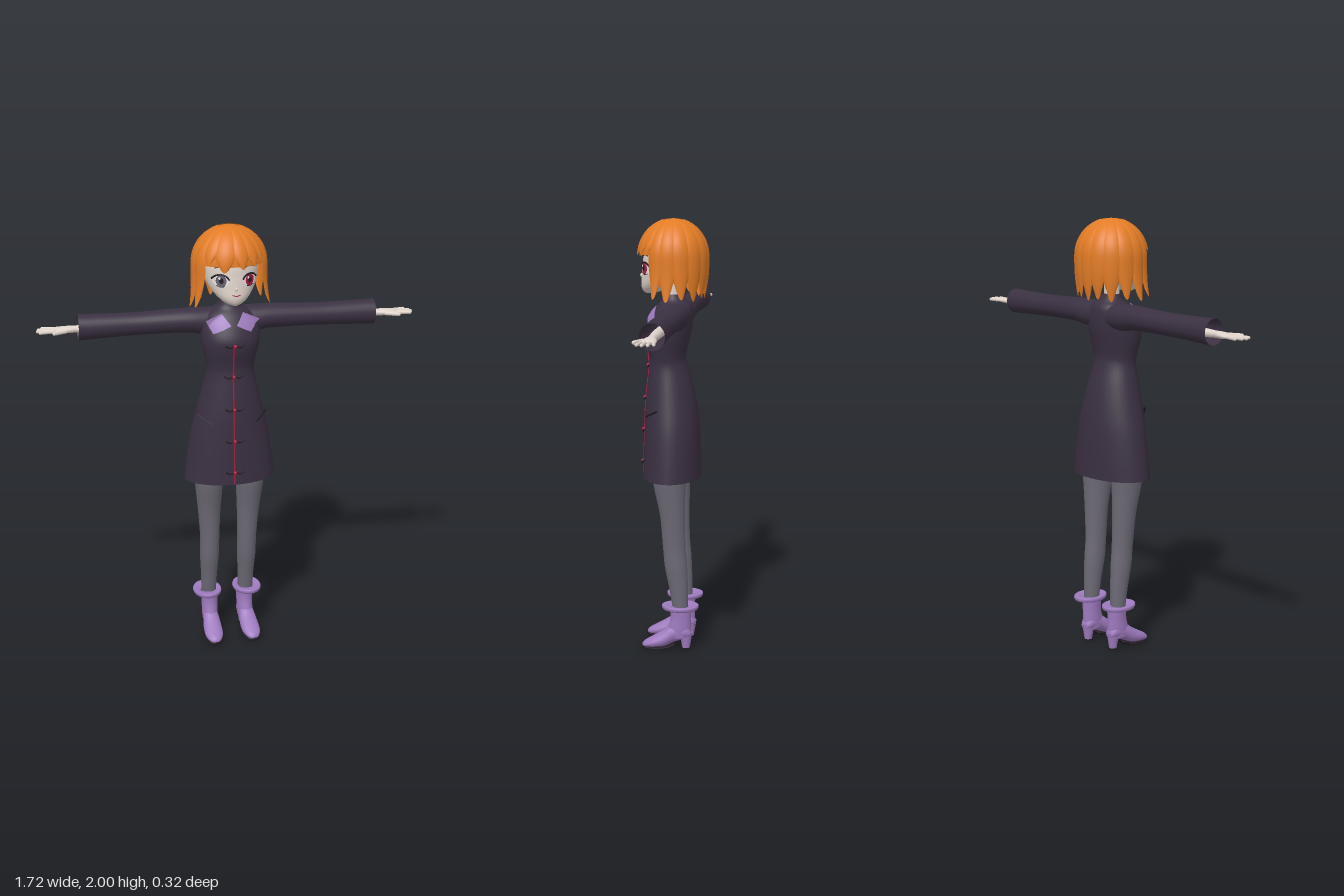
import * as THREE from 'three';

const mat = (name, color, side = THREE.FrontSide) => {
  const m = new THREE.MeshStandardMaterial({ color, side });
  m.name = name;
  return m;
};
const D = THREE.DoubleSide;

// Smooth loft of ellipses up y. Rows: [y, half width, front z, back z, centre x]
function loft(rows, { seg = 28, sub = 4, caps = false } = {}) {
  const mid = new THREE.CatmullRomCurve3(rows.map(r => new THREE.Vector3(r[4] || 0, r[0], (r[2] + r[3]) / 2)), false, 'catmullrom');
  const rad = new THREE.CatmullRomCurve3(rows.map(r => new THREE.Vector3(r[1], 0, (r[2] - r[3]) / 2)), false, 'catmullrom');
  const n = (rows.length - 1) * sub, pos = [], idx = [], sections = [];
  for (let i = 0; i <= n; i++) {
    const c = mid.getPoint(i / n), r = rad.getPoint(i / n);
    sections.push([c.y, c.z, r.x, r.z]);
    for (let j = 0; j < seg; j++) {
      const a = j / seg * Math.PI * 2;
      pos.push(c.x + r.x * Math.sin(a), c.y, c.z + r.z * Math.cos(a));
    }
  }
  for (let i = 0; i < n; i++) for (let j = 0; j < seg; j++) {
    const k = (j + 1) % seg, a = i * seg, b = a + seg;
    idx.push(a + j, a + k, b + k, a + j, b + k, b + j);
  }
  if (caps) {
    const lo = mid.getPoint(0), hi = mid.getPoint(1), c = pos.length / 3;
    pos.push(lo.x, lo.y, lo.z, hi.x, hi.y, hi.z);
    for (let j = 0; j < seg; j++) {
      const k = (j + 1) % seg;
      idx.push(c, k, j, c + 1, n * seg + j, n * seg + k);
    }
  }
  const g = new THREE.BufferGeometry();
  g.setAttribute('position', new THREE.Float32BufferAttribute(pos, 3));
  g.setIndex(idx);
  g.computeVertexNormals();
  // Front depth of the loft at (x, y)
  g.frontZ = (x, y) => {
    let i = 0;
    while (i < n - 1 && sections[i + 1][0] < y) i++;
    const p = sections[i], q = sections[i + 1];
    const f = THREE.MathUtils.clamp((y - p[0]) / (q[0] - p[0]), 0, 1);
    const [, cz, rx, rz] = p.map((v, k) => v + (q[k] - v) * f);
    return cz + rz * Math.sqrt(Math.max(0.12, 1 - (x / rx) ** 2));
  };
  return g;
}

function remap(g, fn) {
  const p = g.attributes.position;
  for (let i = 0; i < p.count; i++) p.setXYZ(i, ...fn(p.getX(i), p.getY(i), p.getZ(i)));
  g.computeVertexNormals();
  return g;
}
const drape = (g, surf, off) => remap(g, (x, y) => [x, y, surf(x, y) + off]);

export function createModel() {
  const hair = mat('orange hair', 0xe27c26, D), skin = mat('pale skin', 0xe0d4cb);
  const cloth = mat('dark plum coat', 0x3a3041, D), stocking = mat('grey stocking', 0x6c6975);
  const lilac = mat('lilac', 0x9f7bbf, D), black = mat('black', 0x211b22, D);
  const red = mat('red', 0xa32040, D), white = mat('white', 0xf2eeee, D), grey = mat('grey iris', 0x65606e, D);
  const root = new THREE.Group();
  const add = (name, geo, m, parent = root) => {
    const mesh = new THREE.Mesh(geo, m);
    mesh.name = name;
    parent.add(mesh);
    return mesh;
  };
  const tube = (pts, r) => new THREE.TubeGeometry(new THREE.CatmullRomCurve3(pts.map(p => new THREE.Vector3(...p))), 20, r, 6);

  // Coat body, open at the hem
  const coat = loft([
    [0.82, 0.212, 0.138, -0.13], [0.92, 0.2, 0.134, -0.128], [1.04, 0.181, 0.13, -0.123], [1.14, 0.157, 0.127, -0.112],
    [1.25, 0.129, 0.117, -0.09], [1.335, 0.109, 0.108, -0.066], [1.38, 0.112, 0.11, -0.06], [1.45, 0.128, 0.128, -0.074],
    [1.5, 0.134, 0.13, -0.085], [1.56, 0.13, 0.104, -0.09], [1.605, 0.102, 0.075, -0.084], [1.632, 0.062, 0.05, -0.062],
    [1.66, 0.042, 0.04, -0.035]], { seg: 36 });
  add('coatBody', coat, cloth);
  const onCoat = (x, y, off) => [x, y, coat.frontZ(x, y) + off];

  // Front seam, knotted fasteners and pocket slits
  add('frontSeam', tube(Array.from({ length: 9 }, (_, i) => onCoat(-0.006, 0.825 + i * 0.082, 0.003)), 0.0035), red);
  [1.48, 1.33, 1.18, 1.03, 0.88].forEach(y => {
    add('fastener', tube([-0.042, -0.022, 0, 0.022, 0.042].map((x, i) => onCoat(x - 0.004, y + (i % 2 ? -0.006 : 0.003), 0.006)), 0.0035), black);
    add('fastenerKnot', new THREE.SphereGeometry(0.009, 10, 8), red).position.set(...onCoat(-0.004, y, 0.008));
  });
  for (const s of [-1, 1]) add('pocketSlit', tube([[0.1, 1.11], [0.13, 1.127], [0.158, 1.145]].map(([x, y]) => onCoat(s * x, y, 0.008)), 0.0045), black);

  // Collar flaps: four-cornered patches laid over the chest
  const flap = c => drape(remap(new THREE.PlaneGeometry(1, 1, 8, 8), (x, y) => {
    const u = x + 0.5, v = y + 0.5;
    return [0, 1].map(k => (c[0][k] * (1 - u) + c[1][k] * u) * (1 - v) + (c[3][k] * (1 - u) + c[2][k] * u) * v).concat(0);
  }), (x, y) => Math.max(coat.frontZ(x, y), 0.062), 0.008);
  add('collarFlapRight', flap([[-0.094, 1.532], [-0.014, 1.566], [-0.05, 1.615], [-0.122, 1.586]]), lilac);
  add('collarFlapLeft', flap([[0.01, 1.566], [0.075, 1.535], [0.125, 1.582], [0.048, 1.617]]), lilac);

  // Arms: sleeve, wrist, palm and fingers, laid along local x
  for (const s of [1, -1]) {
    const arm = new THREE.Group();
    arm.name = s > 0 ? 'leftArm' : 'rightArm';
    arm.position.set(0, 1.56, -0.022);
    arm.rotation.y = (s > 0 ? 0 : Math.PI) - 0.037;
    root.add(arm);
    add('sleeve', loft([[0.05, 0.062, 0.062, -0.062, -0.002], [0.13, 0.06, 0.063, -0.065, -0.004], [0.2, 0.055, 0.06, -0.062, -0.009],
      [0.4, 0.051, 0.053, -0.053, -0.005], [0.55, 0.054, 0.053, -0.053, -0.003], [0.675, 0.058, 0.055, -0.055, -0.002]])
      .rotateZ(-Math.PI / 2), cloth, arm);
    const hand = new THREE.Group();
    hand.name = 'hand';
    hand.position.y = -0.005;
    arm.add(hand);
    add('palm', loft([[0.45, 0.022, 0.024, -0.024], [0.6, 0.02, 0.021, -0.021], [0.68, 0.016, 0.018, -0.018], [0.72, 0.015, 0.029, -0.029],
      [0.765, 0.011, 0.036, -0.034], [0.785, 0.006, 0.03, -0.03]], { seg: 16, caps: true }).rotateZ(-Math.PI / 2), skin, hand);
    const finger = (name, x, z, len, turn, r) => {
      const f = add(name, new THREE.CapsuleGeometry(r, len, 4, 8).rotateZ(Math.PI / 2), skin, hand);
      f.position.set(x, 0, s * z);
      f.rotation.y = -s * turn;
    };
    [[0.804, -0.031, 0.052, -0.16], [0.812, -0.011, 0.07, -0.05], [0.815, 0.01, 0.074, 0.03], [0.81, 0.03, 0.064, 0.13]]
      .forEach(([x, z, l, t]) => finger('finger', x, z, l, t, 0.0075));
    finger('thumb', 0.755, 0.043, 0.06, 0.42, 0.009);
  }

  // Legs and boots
  for (const s of [1, -1]) {
    add(s > 0 ? 'leftLeg' : 'rightLeg', loft([[0.18, 0.034, -0.012, -0.08], [0.3, 0.038, 0.008, -0.08], [0.4, 0.044, 0.028, -0.076],
      [0.5, 0.045, 0.037, -0.068], [0.65, 0.053, 0.05, -0.066], [0.8, 0.066, 0.08, -0.07], [0.96, 0.078, 0.09, -0.085]]
      .map(r => [...r, s * (0.09 + Math.max(0, r[0] - 0.5) * 0.025)]), { caps: true }), stocking);
    const boot = new THREE.Group();
    boot.name = s > 0 ? 'leftBoot' : 'rightBoot';
    boot.position.x = s * 0.088;
    boot.rotation.y = s * 0.04;
    root.add(boot);
    add('bootShaft', loft([[0.06, 0.034, 0.02, -0.092], [0.1, 0.037, 0.014, -0.094], [0.15, 0.038, 0.002, -0.094], [0.205, 0.042, 0.002, -0.096]]), lilac, boot);
    add('bootCuff', loft([[0.193, 0.04, 0, -0.095], [0.201, 0.064, 0.036, -0.126], [0.216, 0.067, 0.04, -0.13], [0.221, 0.06, 0.034, -0.124],
      [0.214, 0.036, -0.01, -0.084]], { sub: 2 }), lilac, boot).position.x = s * 0.011;
    // Foot and sole run along z; rows are [z, half width, -bottom, -top]
    add('foot', loft([[-0.096, 0.02, -0.06, -0.09], [-0.07, 0.034, -0.05, -0.125], [-0.015, 0.037, -0.034, -0.125], [0.035, 0.043, -0.01, -0.088],
      [0.085, 0.042, -0.006, -0.058], [0.12, 0.028, -0.006, -0.038], [0.134, 0.01, -0.01, -0.024]], { seg: 20, caps: true })
      .rotateX(Math.PI / 2), lilac, boot);
    add('sole', loft([[-0.02, 0.026, -0.018, -0.034], [0.01, 0.036, -0.006, -0.022], [0.05, 0.044, 0, -0.018], [0.09, 0.043, 0, -0.018],
      [0.122, 0.031, 0, -0.018], [0.137, 0.012, -0.003, -0.016]], { seg: 20, caps: true }).rotateX(Math.PI / 2), black, boot);
    add('heel', new THREE.CylinderGeometry(0.03, 0.018, 0.075, 14), lilac, boot).position.set(0, 0.0445, -0.071);
    add('heelTip', new THREE.CylinderGeometry(0.0185, 0.018, 0.008, 14), black, boot).position.set(0, 0.004, -0.071);
  }

  // Neck and head
  add('neck', new THREE.CylinderGeometry(0.034, 0.036, 0.15, 20), skin).position.set(0, 1.66, 0.003);
  const head = loft([[1.662, 0.012, 0.125, 0.085], [1.675, 0.043, 0.138, 0.045], [1.7, 0.073, 0.145, 0], [1.74, 0.103, 0.142, -0.06],
    [1.79, 0.122, 0.137, -0.1], [1.85, 0.13, 0.13, -0.12], [1.92, 0.112, 0.1, -0.108], [1.96, 0.065, 0.055, -0.065]], { caps: true, seg: 36 });
  add('head', head, skin);
  const nose = add('nose', new THREE.SphereGeometry(0.009, 10, 8), skin);
  nose.position.set(0, 1.742, 0.142);
  nose.scale.set(0.7, 1.1, 1);
  const onFace = (x, y, off) => [x, y, head.frontZ(x, y) + off];
  add('mouth', tube([[-0.018, 1.716], [0, 1.712], [0.018, 1.716]].map(([x, y]) => onFace(x, y, 0.001)), 0.002), red);

  // Eyes: thin discs stacked on the face
  const disc = (x, y, w, h, off) => drape(new THREE.CircleGeometry(1, 24).scale(w, h, 1).translate(x, y, 0), head.frontZ, off);
  for (const s of [1, -1]) {
    const x = s * 0.064;
    add('eyeWhite', disc(x, 1.778, 0.032, 0.026, 0.002), white);
    add('iris', disc(x, 1.778, 0.021, 0.026, 0.004), s > 0 ? red : grey);
    add('pupil', disc(x, 1.779, 0.009, 0.013, 0.006), black);
    add('eyeGlint', disc(x - 0.008, 1.79, 0.005, 0.006, 0.008), white);
    add('upperLash', tube([[0.03, 1.783], [0.045, 1.8], [0.066, 1.806], [0.086, 1.8], [0.1, 1.785]].map(([a, b]) => onFace(s * a, b, 0.003)), 0.004), black);
    add('lowerLash', tube([[0.05, 1.754], [0.066, 1.751], [0.083, 1.756]].map(([a, b]) => onFace(s * a, b, 0.002)), 0.0015), black);
    add('eyebrow', tube([[0.038, 1.832], [0.062, 1.84], [0.088, 1.834]].map(([a, b]) => onFace(s * a, b, 0.002)), 0.0025), black);
  }

  // Hair: a cap covered by overlapping curved locks
  add('hairCap', new THREE.SphereGeometry(1, 36, 16, 0, Math.PI * 2, 0, 1.5).scale(0.163, 0.167, 0.152).translate(0, 1.83, 0), hair);
  const lock = (name, deg, half, tip, flare) => add(name, remap(new THREE.PlaneGeometry(2, 1, 10, 18), (u, q) => {
    const v = 0.5 - q, top = 1.993;
    const y = top - (top - tip) * v ** 1.6 * (1 - 0.12 * u * u * v);
    const taper = v < 0.65 ? 1 : 1 - 0.6 * ((v - 0.65) / 0.35) ** 2;
    const a = THREE.MathUtils.degToRad(deg + half * u * taper);
    const dome = y > 1.83 ? Math.sqrt(1 - ((y - 1.83) / 0.17) ** 2) : 1;
    const r = dome * (1.045 - 0.06 * u * u) + flare * (Math.max(0, 1.8 - y) / 0.15) ** 2;
    return [Math.sin(a) * 0.164 * r, y, Math.cos(a) * 0.156 * r];
  }), hair);
  [[-45, 15, 1.85], [-19, 19, 1.82], [9, 15, 1.832], [30, 14, 1.838], [48, 13, 1.85]].forEach(([a, w, tip]) => lock('fringeLock', a, w, tip, 0));
  for (const s of [-1, 1]) {
    [[66, 14, 1.652, 0.09], [86, 17, 1.64, 0.06], [110, 18, 1.65, 0], [135, 18, 1.638, -0.09], [159, 18, 1.648, -0.12]]
      .forEach(([a, w, tip, f]) => lock(a < 100 ? 'sideLock' : 'backLock', s * a, w, tip, f));
  }
  lock('backLock', 180, 17, 1.638, -0.12);
  return root;
}
